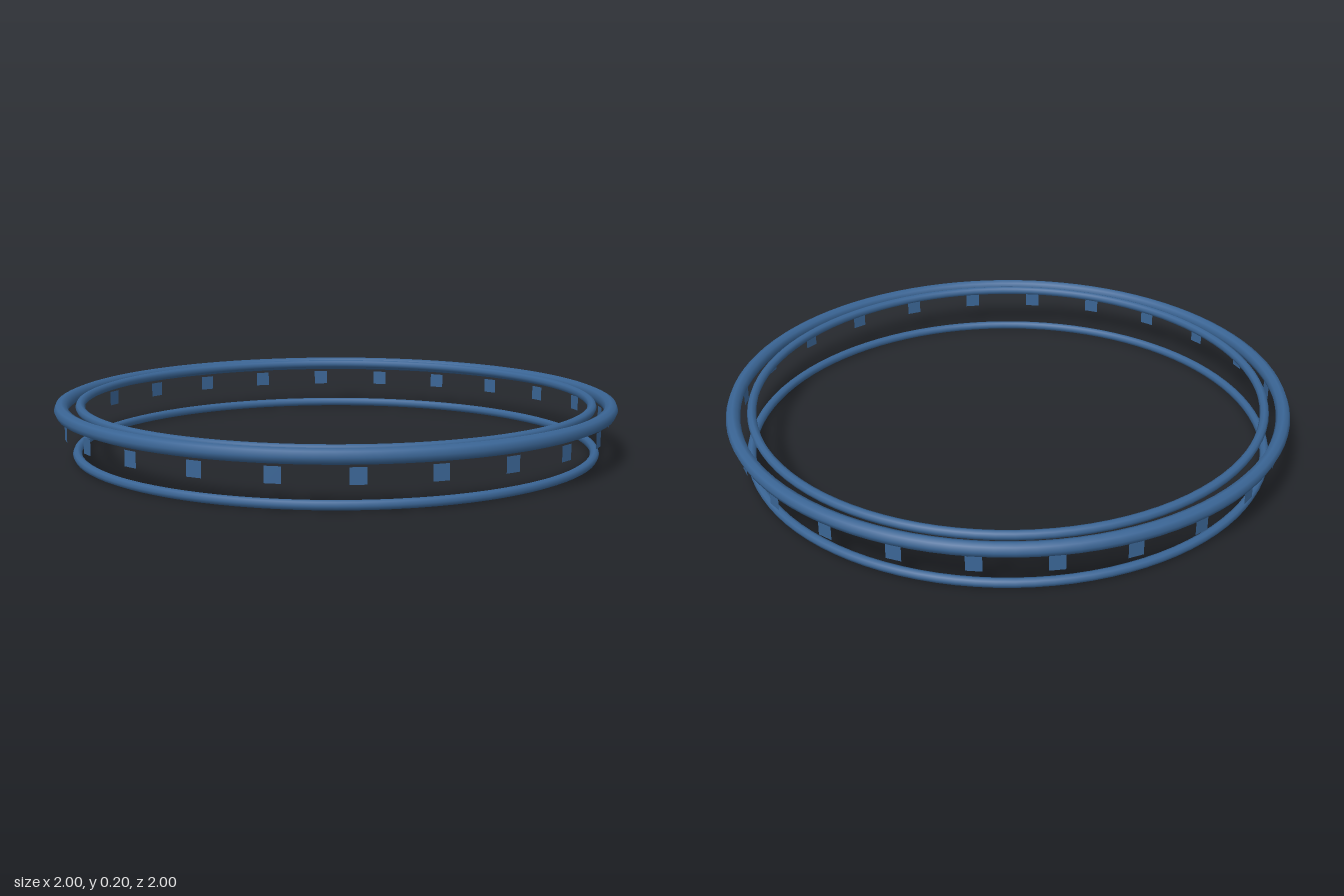
import * as THREE from 'three';

export function createModel() {
  const model = new THREE.Group();
  const material = new THREE.MeshStandardMaterial({ color: 0x3a6595 });
  const plateMaterial = new THREE.MeshStandardMaterial({ color: 0x3a6595, side: THREE.DoubleSide });

  // Horizontal hoop with an eight-sided tube
  function addRing(name, radius, tube, y) {
    const geometry = new THREE.TorusGeometry(radius, tube, 8, 96);
    geometry.rotateX(-Math.PI / 2);
    const ring = new THREE.Mesh(geometry, material);
    ring.name = name;
    ring.position.y = y;
    model.add(ring);
  }
  addRing('outerRing', 0.975, 0.025, 0.175);
  addRing('innerRing', 0.91, 0.016, 0.182);
  addRing('lowerRing', 0.924, 0.016, 0.016);

  // Thin square plates spaced evenly below the outer ring
  const plates = new THREE.Group();
  plates.name = 'plates';
  const plateGeometry = new THREE.PlaneGeometry(0.053, 0.053);
  const count = 24;
  for (let i = 0; i < count; i++) {
    const angle = (i / count) * Math.PI * 2;
    const plate = new THREE.Mesh(plateGeometry, plateMaterial);
    plate.name = 'plate';
    plate.position.set(Math.sin(angle) * 0.97, 0.115, Math.cos(angle) * 0.97);
    plate.rotation.y = angle;
    plates.add(plate);
  }
  model.add(plates);
  return model;
}
